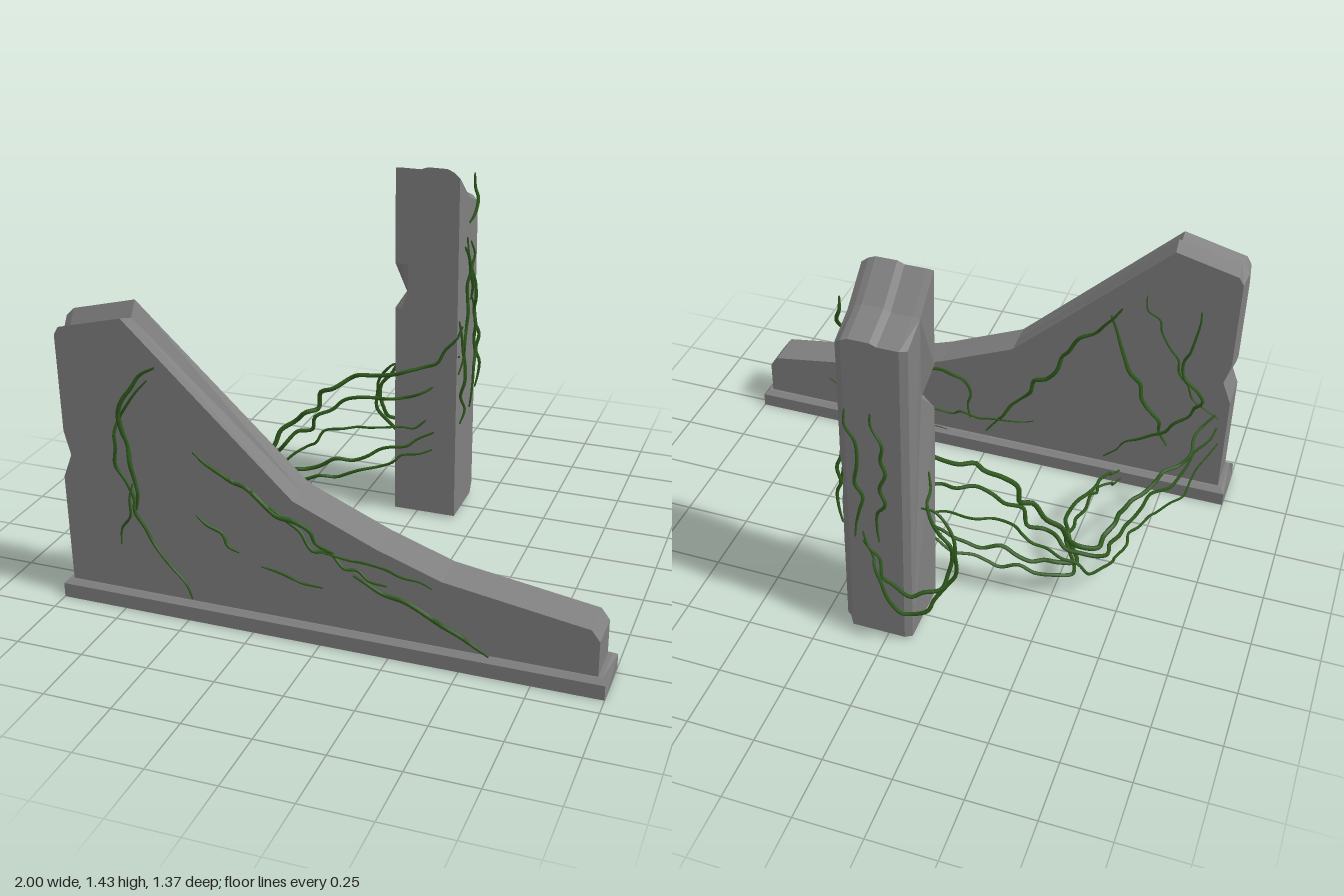
import * as THREE from 'three';

const stone = new THREE.MeshStandardMaterial({ color: 0x808080, flatShading: true });
const leafGreen = new THREE.MeshStandardMaterial({ color: 0x2f5a1c, side: THREE.DoubleSide });

// seeded random in -1..1
let seed = 7;
const rnd = () => {
  seed = (seed * 16807) % 2147483647;
  return (seed / 2147483647) * 2 - 1;
};

// extrudes a profile in steps, then shifts each vertex by a rule to chip the stone
function carved(name, profile, depth, steps, rule) {
  const shape = new THREE.Shape(profile.map(p => new THREE.Vector2(...p)));
  const geo = new THREE.ExtrudeGeometry(shape, { depth, steps, bevelEnabled: false });
  const pos = geo.attributes.position, v = new THREE.Vector3();
  for (let i = 0; i < pos.count; i++) {
    rule(v.fromBufferAttribute(pos, i));
    pos.setXYZ(i, v.x, v.y, v.z);
  }
  geo.computeVertexNormals();
  const mesh = new THREE.Mesh(geo, stone);
  mesh.name = name;
  return mesh;
}

// tapered, crooked stem through the given points
function stem(name, points, radius, wobble) {
  const rough = new THREE.CatmullRomCurve3(points.map(p => new THREE.Vector3(...p)));
  const n = Math.max(4, Math.round(rough.getLength() / 0.06));
  const knots = rough.getSpacedPoints(n);
  knots.slice(1, -1).forEach(p => wobble.forEach((w, axis) =>
    p.setComponent(axis, p.getComponent(axis) + rnd() * w)));
  const curve = new THREE.CatmullRomCurve3(knots);
  const seg = n * 4, sides = 5;
  const geo = new THREE.TubeGeometry(curve, seg, radius, sides);
  const pos = geo.attributes.position, v = new THREE.Vector3();
  for (let i = 0; i < pos.count; i++) {
    const t = Math.floor(i / (sides + 1)) / seg;
    const c = curve.getPointAt(t);
    const s = 0.25 + 0.75 * Math.pow(Math.sin(Math.PI * (0.04 + 0.92 * t)), 0.6);
    v.fromBufferAttribute(pos, i).sub(c).multiplyScalar(s).add(c);
    pos.setXYZ(i, v.x, v.y, v.z);
  }
  const mesh = new THREE.Mesh(geo, leafGreen);
  mesh.name = name;
  return mesh;
}

function group(name, stems) {
  const g = new THREE.Group();
  g.name = name;
  g.add(...stems);
  return g;
}

// vines lying on one wall face, each a short path of x, y pairs
const onWall = (name, z, paths) => group(name, paths.map((path, i) =>
  stem('vine', path.map(([x, y]) => [x, y, z]), 0.009 - 0.002 * (i % 3), [0.018, 0.014, 0.009])));

export function createModel() {
  seed = 7;
  const model = new THREE.Group();

  // broken sloping wall: a sharp ridge and groove run along its high half
  const ridge = [-0.035, 0, -0.055, -0.03];
  const shift = [0, -0.012, -0.03, 0];
  const wall = carved('wall', [
    [-0.97, 0.05], [0.97, 0.05], [0.97, 0.2], [0.94, 0.24], [0.43, 0.32], [0.2, 0.4], [-0.1, 0.53],
    [-0.71, 1.14], [-0.95, 1.08], [-0.98, 1.05], [-0.975, 0.66], [-0.94, 0.57], [-0.975, 0.48]
  ], 0.15, 3, v => {
    const row = Math.round(v.z / 0.05);
    if (v.y > 1) v.y += ridge[row];
    if (v.x < -0.05) v.z += shift[row];
    if (v.x < -0.97 && v.y > 0.6 && (row === 0 || row === 3)) v.x += 0.012;
  });
  wall.position.z = 0.5;
  model.add(wall);

  // plinth with chamfered upper edges
  const plinth = carved('plinth', [
    [-0.675, 0], [-0.47, 0], [-0.47, 0.055], [-0.49, 0.07], [-0.655, 0.07], [-0.675, 0.055]
  ], 2, 1, v => {
    if (v.y > 0.06) v.z += v.z > 1 ? -0.015 : 0.015;
  });
  plinth.rotation.y = Math.PI / 2;
  plinth.position.x = -1;
  model.add(plinth);

  // free-standing pillar with a slanted broken top and chipped corners
  const pillar = carved('pillar', [
    [0.38, 0.01], [0.64, 0.01], [0.64, 0.05], [0.64, 0.58], [0.64, 0.66], [0.64, 0.78], [0.64, 1.28],
    [0.51, 1.33], [0.38, 1.435], [0.38, 1.05], [0.38, 0.93], [0.38, 0.87]
  ], 0.25, 10, v => {
    const x = v.z, y = v.y;
    const front = v.x < 0.4, back = v.x > 0.62, endL = x < 0.01, endR = x > 0.24;
    if (back && (endL || endR)) v.x -= 0.015;
    if (y > 1.2) v.y += endL ? -0.012 : endR ? -0.03 : x > 0.11 && x < 0.22 ? 0 : -0.01;
    // notch in the front right corner
    if (front && Math.abs(y - 0.93) < 0.01 && x < 0.04) {
      v.z = 0.035 + x * 0.4;
      v.x += 0.035 - x;
    }
    if (back && endR && Math.abs(y - 0.66) < 0.01) v.z -= 0.012;
    if (back && endR && y < 0.02) v.x -= 0.025;
  });
  pillar.rotation.y = Math.PI / 2;
  pillar.position.x = -0.09;
  model.add(pillar);

  // vines clinging to both wall faces
  model.add(onWall('frontVines', 0.657, [
    [[-0.59, 0.95], [-0.74, 0.75], [-0.71, 0.6], [-0.69, 0.4]],
    [[-0.62, 0.9], [-0.75, 0.7], [-0.7, 0.42], [-0.49, 0.08]],
    [[-0.7, 0.5], [-0.76, 0.25]],
    [[-0.46, 0.66], [-0.12, 0.46], [0.05, 0.36]],
    [[-0.25, 0.55], [0.02, 0.35], [0.24, 0.27]],
    [[-0.02, 0.36], [0.4, 0.29]],
    [[0.12, 0.29], [0.4, 0.17], [0.6, 0.07]],
    [[-0.46, 0.42], [-0.3, 0.3]],
    [[-0.22, 0.26], [0.01, 0.22]]
  ]));
  model.add(onWall('backVines', 0.494, [
    [[-0.53, 0.82], [-0.22, 0.42], [0, 0.1]],
    [[-0.83, 0.87], [-0.79, 0.62], [-0.87, 0.45], [-0.5, 0.1]],
    [[-0.62, 0.9], [-0.82, 0.5], [-0.94, 0.4]],
    [[-0.49, 0.78], [-0.75, 0.22]],
    [[0.38, 0.29], [0.11, 0.36], [0.07, 0.15]],
    [[0.7, 0.2], [0.4, 0.14], [-0.2, 0.2]]
  ]));
  model.add(stem('looseTwig', [[0.16, 0.09, 0.46], [0.38, 0.2, 0.3]], 0.003, [0.01, 0.01, 0.01]));

  // vines strung between wall and pillar: copies of a sagging path that fan out at the pillar
  const sag = [
    [-0.94, 0.36, 0.48], [-0.85, 0.24, 0.31], [-0.71, 0.16, 0.12], [-0.68, 0.16, -0.08],
    [-0.62, 0.18, -0.2], [-0.25, 0.48, -0.31], [0, 0.5, -0.365], [0.165, 0.68, -0.4]
  ];
  const lowSag = [
    [-0.58, 0.05, 0.46], [-0.53, 0.16, 0.2], [-0.49, 0.13, 0], [-0.56, 0.13, -0.2],
    [-0.25, 0.2, -0.32], [0.07, 0.33, -0.375]
  ];
  const strung = (path, k) => stem('vine', path.map(([x, y, z]) =>
    [x + k * 0.012, y + k * (0.06 + 0.4 * Math.max(0, -z - 0.2)), z + k * 0.008]),
  0.008 + k * 0.002, [0.018, 0.016, 0.014]);
  model.add(group('hangingVines',
    [...[-1, 0.1, 1].map(k => strung(sag, k)), ...[-0.3, 0.3].map(k => strung(lowSag, k))]));

  // vines down the pillar's left face: z and y at top, z and y at bottom
  const climbers = [
    [-0.48, 1.15, -0.39, 0.62], [-0.45, 1.12, -0.54, 0.88], [-0.53, 1.12, -0.55, 0.42],
    [-0.56, 0.88, -0.62, 0.48], [-0.39, 0.84, -0.42, 0.4], [-0.56, 1.38, -0.5, 1.2]
  ].map(([z0, y0, z1, y1]) => stem('vine',
    [[0.165, y0, z0], [0.18, (y0 + y1) / 2, (z0 + z1) / 2 - 0.02], [0.165, y1, z1]], 0.007, [0.01, 0.01, 0.014]));
  // vines on its back face
  const backClimbers = [0.13, 0.04].map(x => stem('vine',
    [[x, 1, -0.645], [x - 0.04, 0.75, -0.645], [x - 0.02, 0.45, -0.645]], 0.007, [0.018, 0.01, 0.006]));
  // loops swinging out behind and around the right side
  const loops = [0, 1].map(k => stem('vine', [
    [0.08, 0.48 - k * 0.04, -0.645], [-0.09, 0.26 - k * 0.1, -0.68], [-0.24, 0.36, -0.6],
    [-0.15, 0.56, -0.58 + k * 0.03], [-0.1, 0.66 - k * 0.1, -0.47 - k * 0.08]
  ], 0.008, [0.012, 0.015, 0.008]));
  model.add(group('pillarVines', [...climbers, ...backClimbers, ...loops]));

  return model;
}
